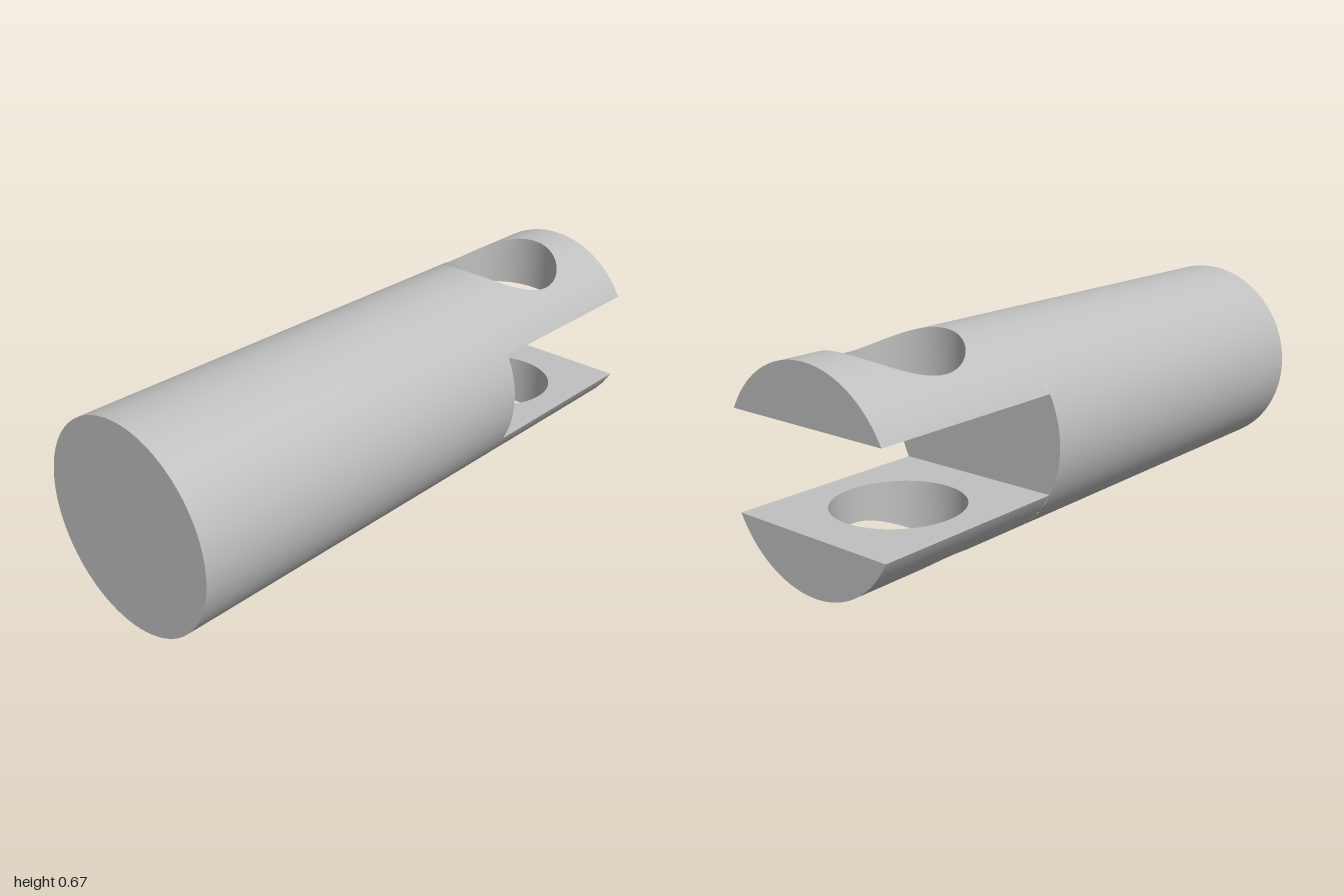
import * as THREE from 'three';

const R = 1 / 3;                        // rod radius
const SLOT = 0.155;                     // half height of the slot
const W = Math.sqrt(R * R - SLOT * SLOT); // half width of the prong's flat face
const HOLE = 0.202;                     // cross hole radius
const X0 = 1 / 3, X1 = 1, XC = (X0 + X1) / 2, HX = (X1 - X0) / 2;
const PER_SIDE = 28;

// Grid surface: fn(i, t) gives [position, normal]; closed around i, t runs 0..1
function grid(rows, fn) {
  const pos = [], nor = [], idx = [], cols = PER_SIDE * 4;
  for (let j = 0; j <= rows; j++) {
    for (let i = 0; i <= cols; i++) {
      const [p, n] = fn(i, j / rows);
      pos.push(...p);
      nor.push(...n);
    }
  }
  for (let j = 0; j < rows; j++) {
    for (let i = 0; i < cols; i++) {
      const a = j * (cols + 1) + i, b = a + 1, c = a + cols + 1, d = c + 1;
      idx.push(a, b, d, a, d, c);
    }
  }
  const g = new THREE.BufferGeometry();
  g.setAttribute('position', new THREE.Float32BufferAttribute(pos, 3));
  g.setAttribute('normal', new THREE.Float32BufferAttribute(nor, 3));
  g.setIndex(idx);
  return g;
}

// Angle around the hole, with columns landing exactly on the plan's corners
function angleAt(i) {
  const c = Math.atan2(W, HX);
  const corners = [c, Math.PI - c, Math.PI + c, 2 * Math.PI - c, 2 * Math.PI + c];
  const s = Math.min(3, Math.floor(i / PER_SIDE));
  return THREE.MathUtils.lerp(corners[s], corners[s + 1], i / PER_SIDE - s);
}

// Plan point between the hole's rim (t = 0) and the prong's outline (t = 1)
function planPoint(i, t) {
  const a = angleAt(i), c = Math.cos(a), s = Math.sin(a);
  const edge = Math.min(HX / Math.max(Math.abs(c), 1e-9), W / Math.max(Math.abs(s), 1e-9));
  const r = THREE.MathUtils.lerp(HOLE, edge, t);
  return [XC + r * c, r * s];
}

const rodHeight = (z) => Math.sqrt(Math.max(0, R * R - z * z));

export function createModel() {
  const model = new THREE.Group();
  model.name = 'clevisRod';
  const steel = new THREE.MeshStandardMaterial({ color: 0xc0c0c0 });
  steel.name = 'steel grey';

  const add = (parent, name, geometry) => {
    const mesh = new THREE.Mesh(geometry, steel);
    mesh.name = name;
    parent.add(mesh);
  };

  // Solid shank
  const shank = new THREE.Group();
  shank.name = 'shank';
  add(shank, 'shankSide', new THREE.CylinderGeometry(R, R, 1 + X0, 128, 1, true)
    .rotateZ(Math.PI / 2).translate((X0 - 1) / 2, 0, 0));
  add(shank, 'shankEnd', new THREE.CircleGeometry(R, 128)
    .rotateY(-Math.PI / 2).translate(-1, 0, 0));

  // Floor of the slot
  const a0 = Math.asin(SLOT / R);
  const floor = new THREE.Shape();
  floor.absarc(0, 0, R, -a0, a0, false);
  floor.absarc(0, 0, R, Math.PI - a0, Math.PI + a0, false);
  add(shank, 'slotFloor', new THREE.ShapeGeometry(floor, 32)
    .rotateY(Math.PI / 2).translate(X0, 0, 0));
  model.add(shank);

  // Upper prong pieces, shared by the lower prong
  const outer = grid(28, (i, t) => {
    const [x, z] = planPoint(i, t), y = rodHeight(z);
    return [[x, y, z], [0, y / R, z / R]];
  });
  const inner = grid(1, (i, t) => {
    const [x, z] = planPoint(PER_SIDE * 4 - i, t);
    return [[x, SLOT, z], [0, -1, 0]];
  });
  const bore = grid(1, (i, t) => {
    const [x, z] = planPoint(i, 0), a = angleAt(i);
    return [[x, t ? rodHeight(z) : SLOT, z], [-Math.cos(a), 0, -Math.sin(a)]];
  });
  const segment = new THREE.Shape();
  segment.absarc(0, 0, R, a0, Math.PI - a0, false);
  const tip = new THREE.ShapeGeometry(segment, 64).rotateY(Math.PI / 2).translate(X1, 0, 0);

  // Two prongs, the lower one turned half round the rod's axis
  for (const [name, turn] of [['upperProng', 0], ['lowerProng', Math.PI]]) {
    const prong = new THREE.Group();
    prong.name = name;
    add(prong, name + 'Outside', outer);
    add(prong, name + 'SlotFace', inner);
    add(prong, name + 'Bore', bore);
    add(prong, name + 'Tip', tip);
    prong.rotation.x = turn;
    model.add(prong);
  }

  for (const part of model.children) part.position.y = R;
  return model;
}
